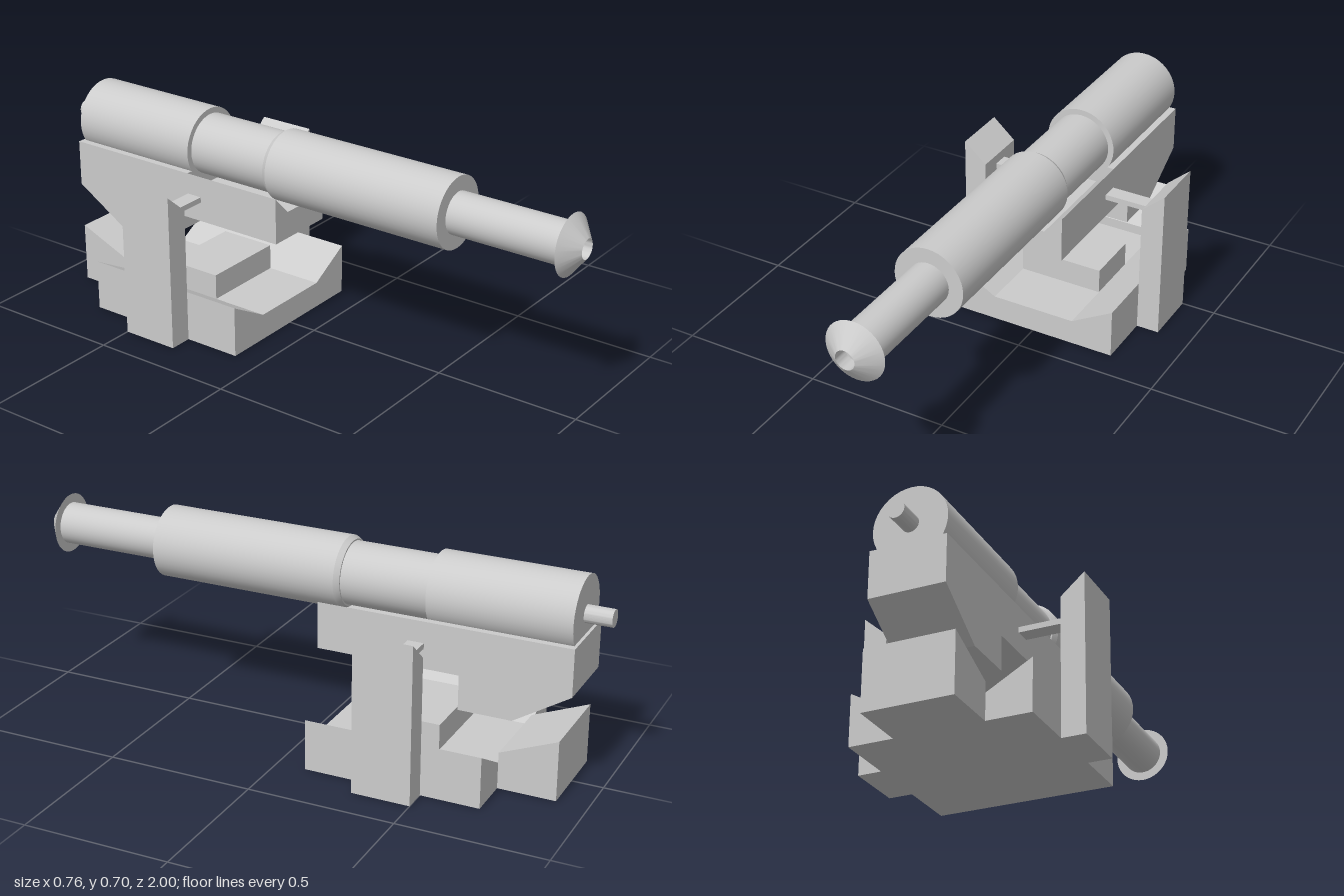
import * as THREE from 'three';
import { toCreasedNormals } from 'three/addons/utils/BufferGeometryUtils.js';

const grey = new THREE.MeshStandardMaterial({ color: 0xcccccc });

function outline(points) {
  return new THREE.Shape(points.map(([a, b]) => new THREE.Vector2(a, b)));
}

// Cross-section in x,y drawn out from zBack to zFront
function alongZ(points, zBack, zFront) {
  const g = new THREE.ExtrudeGeometry(outline(points), { depth: zFront - zBack, bevelEnabled: false });
  return g.translate(0, 0, zBack);
}

// Side profile in z,y drawn out across x, centred
function acrossX(points, width) {
  const g = new THREE.ExtrudeGeometry(outline(points), { depth: width, bevelEnabled: false });
  return g.translate(0, 0, -width / 2).rotateY(-Math.PI / 2);
}

function box(x0, x1, y0, y1, z0, z1) {
  return new THREE.BoxGeometry(x1 - x0, y1 - y0, z1 - z0)
    .translate((x0 + x1) / 2, (y0 + y1) / 2, (z0 + z1) / 2);
}

// Turned part along z: profile of [radius, z] from back to front
function turned(profile, y) {
  const g = new THREE.LatheGeometry(profile.map(([r, z]) => new THREE.Vector2(r, z)), 40);
  return toCreasedNormals(g.rotateX(Math.PI / 2), 0.4).translate(0, y, 0);
}

export function createModel() {
  const model = new THREE.Group();
  const add = (name, geometry) => {
    const mesh = new THREE.Mesh(geometry, grey);
    mesh.name = name;
    model.add(mesh);
  };

  // Dished base with a centre pedestal and a sloped block behind
  add('base', alongZ([[-0.3, 0], [0.3, 0], [0.3, 0.175], [0.15, 0.09], [-0.15, 0.09], [-0.3, 0.175]], -0.7, -0.1));
  add('pedestal', box(-0.15, 0.15, 0.09, 0.178, -0.5, -0.3));
  add('rearBlock', acrossX([[-0.895, 0], [-0.7, 0], [-0.7, 0.125], [-0.895, 0.205]], 0.3));

  // Side posts and the trunnion bars that carry the cradle
  for (const [side, s] of [['left', 1], ['right', -1]]) {
    const post = [[0.3, 0], [0.38, 0], [0.38, 0.54], [0.3, 0.47]].map(([x, y]) => [s * x, y]);
    add(side + 'Post', alongZ(post, -0.5, -0.3));
    add(side + 'Trunnion', box(Math.min(s * 0.12, s * 0.3), Math.max(s * 0.12, s * 0.3), 0.418, 0.437, -0.43, -0.375));
  }

  // Cradle: channelled front, solid stepped rear
  add('cradleFront', alongZ([[-0.128, 0.35], [0.128, 0.35], [0.128, 0.51], [0.063, 0.443],
    [-0.063, 0.443], [-0.128, 0.51]], -0.43, -0.06));
  add('cradleRear', acrossX([[-0.43, 0.51], [-0.92, 0.51], [-0.92, 0.35], [-0.73, 0.232],
    [-0.55, 0.232], [-0.55, 0.35], [-0.43, 0.35]], 0.256));

  // Gun barrel, back to front
  const axis = 0.578;
  add('breech', turned([[0, -0.91], [0.125, -0.91], [0.125, -0.43], [0, -0.43]], axis));
  add('breechKnob', turned([[0, -1], [0.029, -1], [0.029, -0.9], [0, -0.9]], axis));
  add('recoilTube', turned([[0.105, -0.44], [0.105, -0.11]], axis));
  add('sleeve', turned([[0, -0.128], [0.11, -0.128], [0.121, -0.11], [0.121, 0.55], [0, 0.55]], axis));
  add('barrel', turned([[0.071, 0.54], [0.071, 0.95]], axis));
  // Flared muzzle with an open bore
  add('muzzle', turned([[0, 0.947], [0.102, 0.947], [0.033, 1], [0.033, 0.95], [0, 0.95]], axis));

  return model;
}
